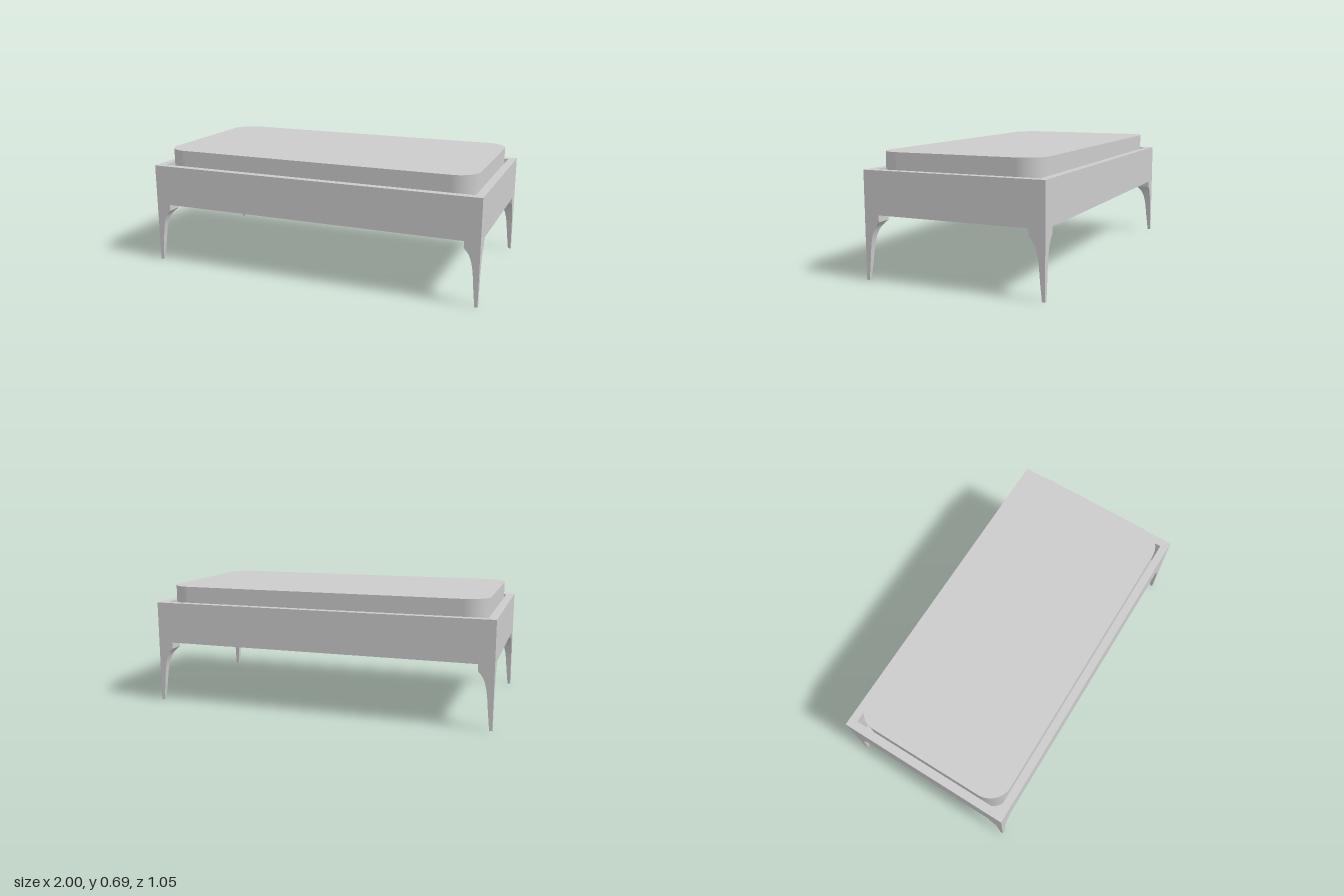
import * as THREE from 'three';

const material = new THREE.MeshStandardMaterial({ color: 0xcccccc });
const X = 1, Z = 0.523;               // half length and half depth
const BOTTOM = 0.36, RIM = 0.6, TOP = 0.695, FLOOR = 0.38;
const INNER_X = 0.952, INNER_Z = 0.477; // half size of the recess

function add(parent, name, geometry) {
  const mesh = new THREE.Mesh(geometry, material);
  mesh.name = name;
  parent.add(mesh);
  return mesh;
}

// Rectangle outline with optional rounded corners
function rectangle(PathType, hx, hz, r = 0) {
  const p = new PathType();
  if (!r) return p.setFromPoints([[-hx, -hz], [hx, -hz], [hx, hz], [-hx, hz], [-hx, -hz]]
    .map(([x, y]) => new THREE.Vector2(x, y)));
  p.absarc(hx - r, -hz + r, r, -Math.PI / 2, 0);
  p.absarc(hx - r, hz - r, r, 0, Math.PI / 2);
  p.absarc(-hx + r, hz - r, r, Math.PI / 2, Math.PI);
  p.absarc(-hx + r, -hz + r, r, Math.PI, Math.PI * 1.5);
  p.closePath();
  return p;
}

// Extrude a plan outline upwards between two heights
function slab(shape, y0, y1) {
  return new THREE.ExtrudeGeometry(shape, { depth: y1 - y0, bevelEnabled: false, curveSegments: 16 })
    .rotateX(-Math.PI / 2).translate(0, y0, 0);
}

// Leg profile: (width, height); straight taper flaring out towards the top
const profile = new THREE.SplineCurve([
  [0.017, 0], [0.027, 0.1], [0.035, 0.19], [0.046, 0.25], [0.063, 0.292], [0.088, 0.322],
].map(([w, y]) => new THREE.Vector2(w, y)));

// Square leg whose two outer faces stay flush with the frame corner
function legGeometry(sx, sz) {
  const g = new THREE.BoxGeometry(1, 1, 1, 1, 20, 1);
  const pos = g.attributes.position;
  for (let i = 0; i < pos.count; i++) {
    const p = profile.getPoint(THREE.MathUtils.clamp(pos.getY(i) + 0.5, 0, 1));
    pos.setXYZ(i,
      sx * (X - p.x / 2) + pos.getX(i) * p.x,
      p.y,
      sz * (Z - p.x / 2) + pos.getZ(i) * p.x);
  }
  g.computeVertexNormals();
  return g;
}

export function createModel() {
  const model = new THREE.Group();
  model.name = 'ottomanTable';

  // Open frame with a floor
  const frame = rectangle(THREE.Shape, X, Z);
  frame.holes.push(rectangle(THREE.Path, INNER_X, INNER_Z));
  add(model, 'frame', slab(frame, FLOOR, RIM));
  add(model, 'basePanel', slab(rectangle(THREE.Shape, X, Z), BOTTOM, FLOOR));

  // Cushion resting in the frame
  add(model, 'cushion', slab(rectangle(THREE.Shape, 0.95, 0.475, 0.13), FLOOR, TOP));

  // Four corner legs, each with a square block under the frame
  const blockWidth = 0.088, blockY = 0.322;
  for (const sx of [-1, 1]) for (const sz of [-1, 1]) {
    const leg = new THREE.Group();
    leg.name = `${sz > 0 ? 'front' : 'back'}${sx > 0 ? 'Left' : 'Right'}Leg`;
    add(leg, 'taperedLeg', legGeometry(sx, sz));
    add(leg, 'legBlock', new THREE.BoxGeometry(blockWidth, BOTTOM - blockY, blockWidth))
      .position.set(sx * (X - blockWidth / 2), (BOTTOM + blockY) / 2, sz * (Z - blockWidth / 2));
    model.add(leg);
  }
  return model;
}
